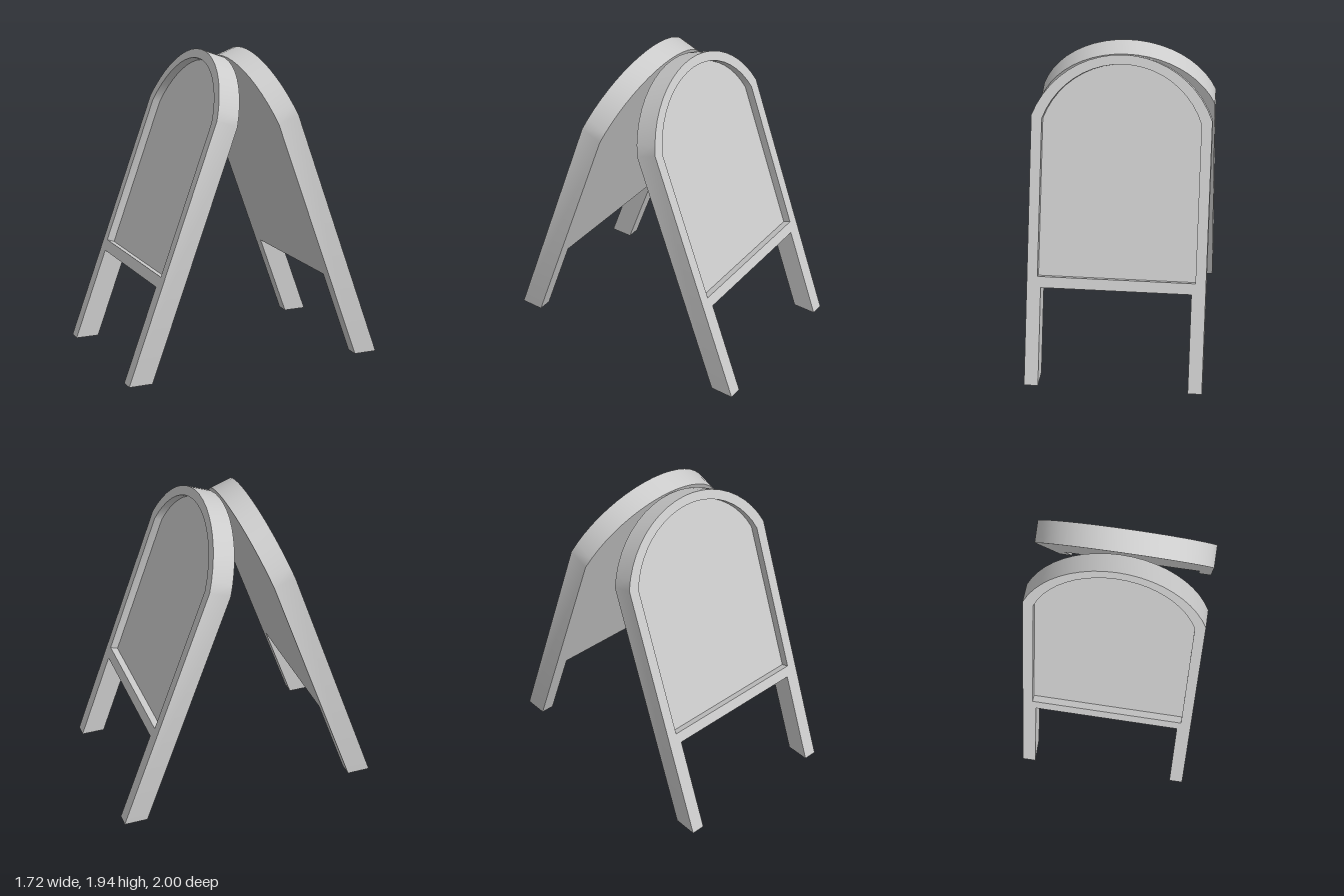
import * as THREE from 'three';
import { toCreasedNormals } from 'three/addons/utils/BufferGeometryUtils.js';

const TILT = THREE.MathUtils.degToRad(20);
const TURN = THREE.MathUtils.degToRad(-25);
const THICK = 0.141, RECESS = 0.05;
const HALF = 0.553, LEG_INNER = 0.466, BAR_BOTTOM = 0.617;

// Circular arc from the right shoulder over the apex to the left shoulder
function addArch(path, half, shoulder, apex) {
  const rise = apex - shoulder;
  const radius = (half * half + rise * rise) / (2 * rise);
  const start = Math.atan2(radius - rise > 0 ? shoulder - (apex - radius) : 0, half);
  path.lineTo(half, shoulder);
  path.absarc(0, apex - radius, radius, start, Math.PI - start, false);
}

// Arched window, used both as the hole in the frame and as the board
function windowOutline(path) {
  path.moveTo(-0.488, 0.686);
  path.lineTo(0.488, 0.686);
  addArch(path, 0.488, 1.66, 2.006);
  path.closePath();
  return path;
}

// Extrude backwards from z = front
function slab(shape, depth, front) {
  const geo = new THREE.ExtrudeGeometry(shape, { depth, bevelEnabled: false, curveSegments: 10 });
  return geo.translate(0, 0, front - depth);
}

function createSide(material) {
  const side = new THREE.Group();

  // Frame: two legs, crossbar and arched top
  const outline = new THREE.Shape();
  outline.moveTo(-HALF, 0);
  outline.lineTo(-LEG_INNER, 0);
  outline.lineTo(-LEG_INNER, BAR_BOTTOM);
  outline.lineTo(LEG_INNER, BAR_BOTTOM);
  outline.lineTo(LEG_INNER, 0);
  outline.lineTo(HALF, 0);
  addArch(outline, HALF, 1.681, 2.064);
  outline.closePath();
  outline.holes.push(windowOutline(new THREE.Path()));
  const frameGeo = slab(outline, THICK, 0);

  // Cut the feet so they rest flat on the floor
  const pos = frameGeo.attributes.position;
  for (let i = 0; i < pos.count; i++) {
    if (pos.getY(i) < 0.001) pos.setY(i, -pos.getZ(i) * Math.tan(TILT));
  }
  frameGeo.computeVertexNormals();
  const frame = new THREE.Mesh(toCreasedNormals(frameGeo, 0.55), material);
  frame.name = 'frame';

  // Recessed board, flush with the back of the frame
  const boardGeo = slab(windowOutline(new THREE.Shape()), THICK - RECESS, -RECESS);
  const board = new THREE.Mesh(toCreasedNormals(boardGeo, 0.55), material);
  board.name = 'board';

  const leaning = new THREE.Group();
  leaning.name = 'leaningPanel';
  leaning.add(frame, board);
  leaning.rotation.x = -TILT;
  leaning.position.z = 0.845;
  side.add(leaning);
  return side;
}

export function createModel() {
  const material = new THREE.MeshStandardMaterial({ color: 0xcccccc });
  const model = new THREE.Group();
  model.name = 'sandwichBoard';

  // Two identical sides leaning against each other
  ['frontSide', 'backSide'].forEach((name, i) => {
    const side = createSide(material);
    side.name = name;
    side.rotation.y = TURN + i * Math.PI;
    model.add(side);
  });
  return model;
}
